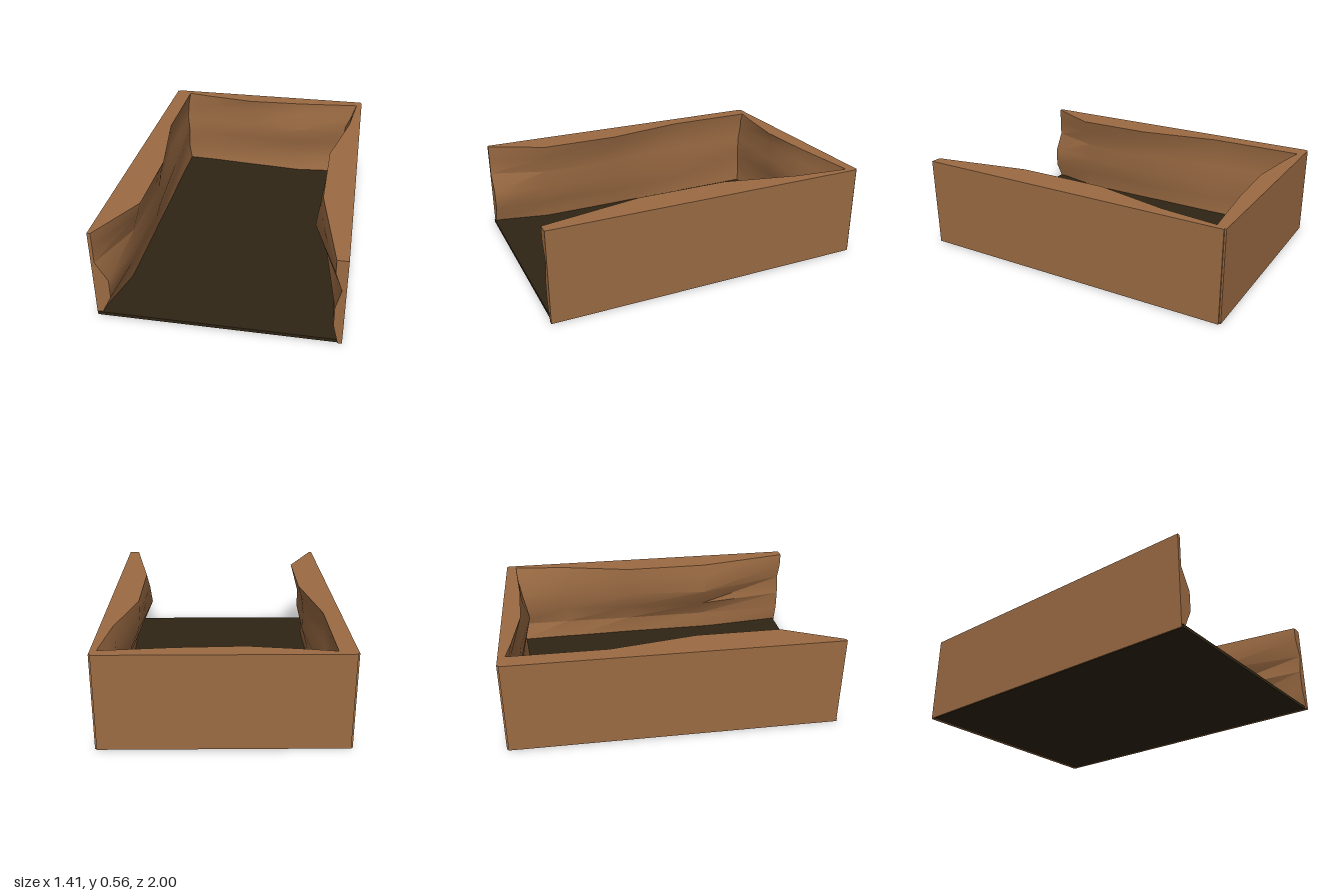
import * as THREE from 'three';
import { toCreasedNormals } from 'three/addons/utils/BufferGeometryUtils.js';

const LEVELS = [0.003, 0.13, 0.25, 0.37, 0.48, 0.565];

const earth = new THREE.MeshStandardMaterial({ color: 0x9b6b43 });
const soil = new THREE.MeshStandardMaterial({ color: 0x2f2514 });

// Wall with a flat outer face (local z = 0) and an uneven inner face.
// Each station is [position along the wall, thickness at every level].
function wall(name, stations) {
  const n = LEVELS.length, ring = 2 * n;
  const pos = [], index = [];
  const quad = (a, b, c, d) => index.push(a, b, c, a, c, d);

  for (const [x, depths] of stations) {
    for (let j = 0; j < n; j++) pos.push(x, LEVELS[j], depths[j]);
    for (let j = n - 1; j >= 0; j--) pos.push(x, LEVELS[j], 0);
  }
  for (let i = 0; i < stations.length - 1; i++) {
    for (let j = 0; j < ring; j++) {
      const k = (j + 1) % ring, a = i * ring, b = a + ring;
      quad(a + j, b + j, b + k, a + k);
    }
  }
  // end caps, one strip per level
  const e = (stations.length - 1) * ring;
  for (let j = 0; j < n - 1; j++) {
    const o = ring - 1 - j;
    quad(j, j + 1, o - 1, o);
    quad(e + o, e + o - 1, e + j + 1, e + j);
  }

  const g = new THREE.BufferGeometry();
  g.setAttribute('position', new THREE.Float32BufferAttribute(pos, 3));
  g.setIndex(index);
  const mesh = new THREE.Mesh(toCreasedNormals(g, 0.6), earth);
  mesh.name = name;
  return mesh;
}

export function createModel() {
  const model = new THREE.Group();
  model.name = 'trench';

  // back wall, runs along x
  const back = wall('backWall', [
    [-0.695, [0.06, 0.05, 0.06, 0.05, 0.04, 0.025]],
    [-0.45, [0.07, 0.05, 0.07, 0.07, 0.06, 0.07]],
    [-0.12, [0.1, 0.07, 0.09, 0.1, 0.09, 0.115]],
    [0.26, [0.13, 0.09, 0.12, 0.15, 0.11, 0.1]],
    [0.695, [0.09, 0.05, 0.06, 0.07, 0.06, 0.06]],
  ]);
  back.position.z = -1;

  // left wall (+x), stations run along +z
  const left = wall('leftWall', [
    [-0.99, [0.1, 0.06, 0.1, 0.11, 0.06, 0.03]],
    [-0.6, [0.09, 0.06, 0.1, 0.1, 0.09, 0.075]],
    [-0.15, [0.08, 0.07, 0.13, 0.17, 0.18, 0.18]],
    [0.4, [0.08, 0.07, 0.15, 0.215, 0.2, 0.18]],
    [1, [0.025, 0.055, 0.055, 0.025, 0.065, 0.065]],
  ]);
  left.rotation.y = -Math.PI / 2;
  left.position.x = 0.705;

  // right wall (-x), stations run along -z
  const right = wall('rightWall', [
    [-0.985, [0.025, 0.09, 0.09, 0.02, 0.02, 0.02]],
    [-0.64, [0.1, 0.11, 0.14, 0.14, 0.17, 0.195]],
    [-0.14, [0.1, 0.12, 0.155, 0.155, 0.17, 0.195]],
    [0.38, [0.1, 0.1, 0.12, 0.09, 0.09, 0.105]],
    [0.99, [0.1, 0.08, 0.09, 0.08, 0.09, 0.105]],
  ]);
  right.rotation.y = Math.PI / 2;
  right.position.x = -0.705;

  // thin dark floor slab
  const floor = new THREE.Mesh(new THREE.BoxGeometry(1.38, 0.02, 1.96), soil);
  floor.name = 'floor';
  floor.position.set(-0.01, 0.01, 0.01);

  model.add(back, left, right, floor);
  return model;
}
